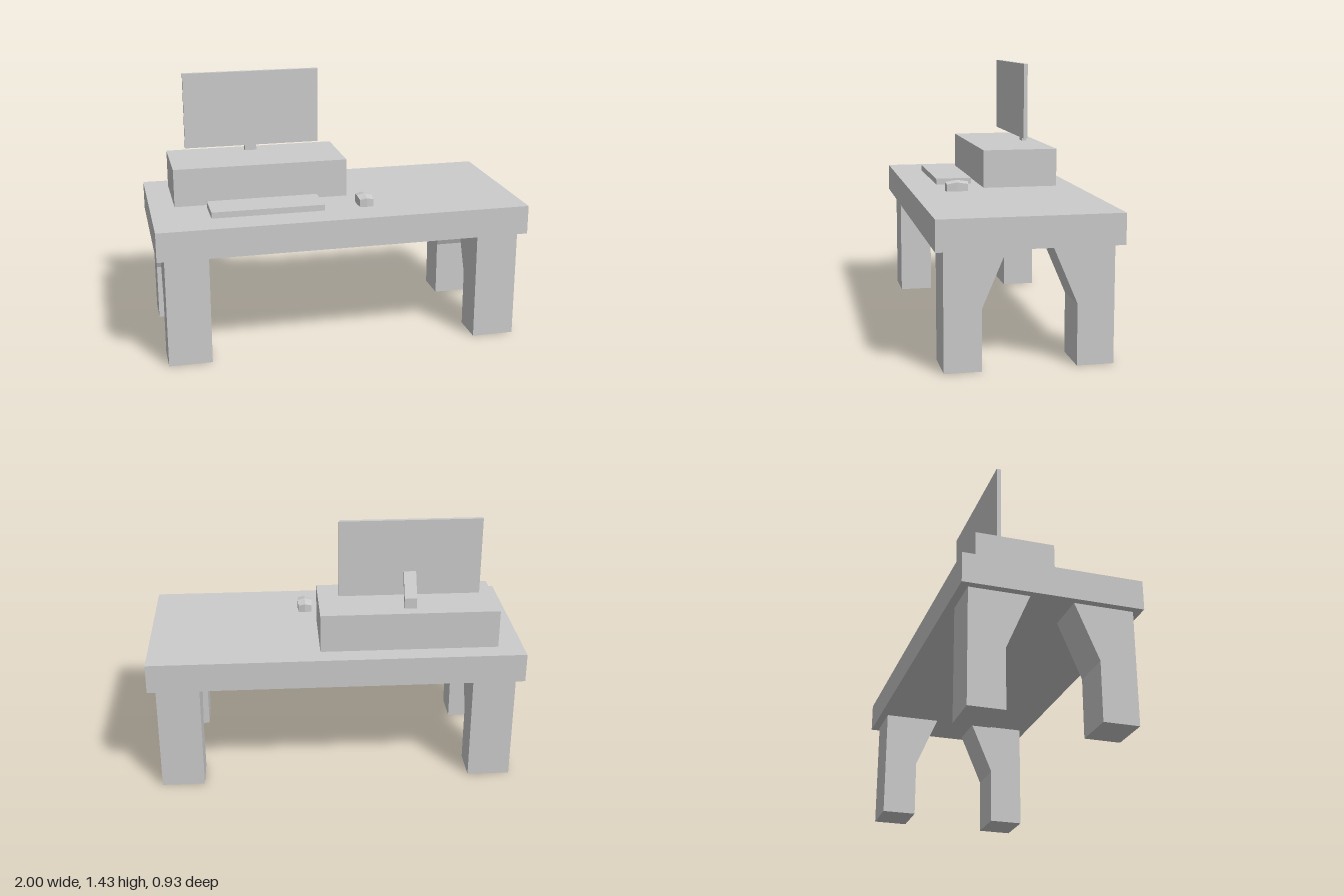
import * as THREE from 'three';

const material = new THREE.MeshStandardMaterial({ color: 0xcccccc, flatShading: true });

function addMesh(group, name, geometry) {
  const mesh = new THREE.Mesh(geometry, material);
  mesh.name = name;
  group.add(mesh);
  return mesh;
}

// Box given by its lower and upper limits on each axis
function addBox(group, name, [x0, x1], [y0, y1], [z0, z1]) {
  const box = addMesh(group, name, new THREE.BoxGeometry(x1 - x0, y1 - y0, z1 - z0));
  box.position.set((x0 + x1) / 2, (y0 + y1) / 2, (z0 + z1) / 2);
}

// Side profile of [z, y] points, extruded along x between two limits
function addProfile(group, name, points, [x0, x1]) {
  const shape = new THREE.Shape(points.map(([z, y]) => new THREE.Vector2(z, y)));
  const geometry = new THREE.ExtrudeGeometry(shape, { depth: x1 - x0, bevelEnabled: false });
  geometry.rotateY(-Math.PI / 2).translate(x1, 0, 0);
  addMesh(group, name, geometry);
}

// Mouse: a subdivided box whose middle bulges outwards and upwards
function mouseGeometry() {
  const geometry = new THREE.BoxGeometry(0.074, 0.04, 0.116, 2, 1, 2);
  const p = geometry.attributes.position;
  for (let i = 0; i < p.count; i++) {
    const x = p.getX(i), y = p.getY(i), z = p.getZ(i);
    const midX = Math.abs(x) < 0.001, midZ = Math.abs(z) < 0.001;
    if (midZ) p.setX(i, x * 1.1);
    if (midX) p.setZ(i, z * 1.1);
    if (y > 0) p.setY(i, y + (midZ ? 0.01 : 0) + (midX ? 0.009 : 0));
  }
  geometry.computeVertexNormals();
  return geometry;
}

export function createModel() {
  const desk = new THREE.Group();
  desk.name = 'desk';

  // Table top
  addBox(desk, 'tableTop', [-1, 1], [0.6, 0.757], [-0.464, 0.464]);

  // Four legs that flare inwards under the top
  const leg = [[0.422, 0], [0.422, 0.6], [0.112, 0.6], [0.236, 0.31], [0.236, 0]];
  for (const [end, s] of [['front', 1], ['back', -1]]) {
    const profile = leg.map(([z, y]) => [z * s, y]);
    addProfile(desk, end + 'LeftLeg', profile, [0.73, 0.96]);
    addProfile(desk, end + 'RightLeg', profile, [-0.96, -0.73]);
  }

  // Riser with the monitor on its bent stand
  addBox(desk, 'riser', [-0.866, 0.086], [0.757, 0.965], [-0.358, 0.055]);
  addBox(desk, 'screen', [-0.774, -0.021], [1.014, 1.432], [-0.217, -0.195]);
  addProfile(desk, 'monitorStand', [
    [-0.266, 0.965], [-0.292, 0.965], [-0.292, 1.022],
    [-0.217, 1.147], [-0.217, 1.098], [-0.266, 1.022],
  ], [-0.43, -0.364]);

  // Keyboard and mouse
  addBox(desk, 'keyboard', [-0.696, -0.091], [0.757, 0.79], [0.093, 0.293]);
  addMesh(desk, 'mouse', mouseGeometry()).position.set(0.145, 0.776, 0.218);

  return desk;
}
